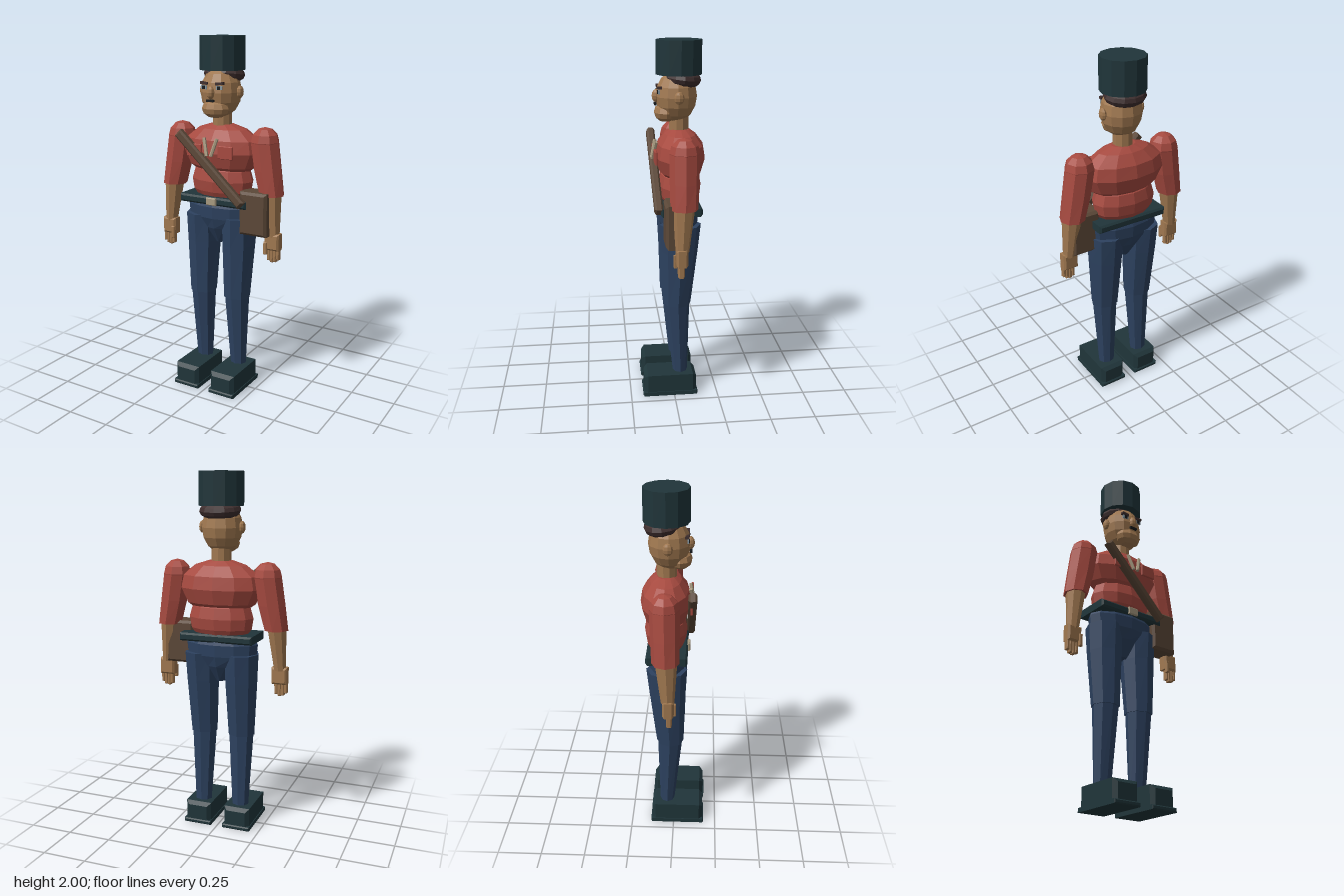
import * as THREE from 'three';

const mat = (name, color) => {
  const m = new THREE.MeshStandardMaterial({ color });
  m.name = name;
  return m;
};

// Faceted loft through horizontal elliptical rings [y, cx, cz, rx, rz], bottom to top
function loft(rings, sides = 12) {
  const pos = [], idx = [];
  for (const [y, cx, cz, rx, rz] of rings)
    for (let i = 0; i < sides; i++) {
      const t = (i / sides) * Math.PI * 2;
      pos.push(cx + rx * Math.sin(t), y, cz + rz * Math.cos(t));
    }
  for (let r = 0; r < rings.length - 1; r++)
    for (let i = 0; i < sides; i++) {
      const a = r * sides + i, b = r * sides + (i + 1) % sides;
      idx.push(a, b, b + sides, a, b + sides, a + sides);
    }
  const top = (rings.length - 1) * sides;
  for (let i = 1; i < sides - 1; i++) {
    idx.push(0, i + 1, i);
    idx.push(top, top + i, top + i + 1);
  }
  const g = new THREE.BufferGeometry();
  g.setAttribute('position', new THREE.Float32BufferAttribute(pos, 3));
  g.setIndex(idx);
  return g;
}

// Box with chamfered edges, centred on the origin
function chamferBox(w, h, d, b) {
  const x = w / 2 - b, y = h / 2 - b;
  const s = new THREE.Shape([[-x, -y], [x, -y], [x, y], [-x, y]].map(p => new THREE.Vector2(...p)));
  const g = new THREE.ExtrudeGeometry(s, { depth: d - 2 * b, bevelSize: b, bevelThickness: b, bevelSegments: 1 });
  return g.translate(0, 0, -(d / 2 - b));
}

const ball = (rx, ry, rz, w = 12, h = 8) => new THREE.SphereGeometry(1, w, h).scale(rx, ry, rz);

export function createModel() {
  const root = new THREE.Group();
  root.name = 'soldier';
  const red = mat('red cloth', 0xa64a40), blue = mat('blue cloth', 0x2d4260);
  const teal = mat('dark teal leather', 0x20353a), skin = mat('skin', 0xa07850);
  const brown = mat('brown leather', 0x5c4838), tan = mat('pale metal', 0xa89a80);
  const hairMat = mat('dark hair', 0x3e2e2e), eyeMat = mat('eye', 0x8596a0), black = mat('black', 0x15191c);

  // Every mesh is faceted through unshared vertices
  const add = (name, geo, material, x = 0, y = 0, z = 0) => {
    const g = geo.index ? geo.toNonIndexed() : geo;
    g.computeVertexNormals();
    const m = new THREE.Mesh(g, material);
    m.name = name;
    m.position.set(x, y, z);
    root.add(m);
    return m;
  };
  // Stretch a y-aligned mesh's direction from a to b
  const aim = (mesh, a, b) => {
    mesh.position.copy(a).add(b).multiplyScalar(0.5);
    mesh.quaternion.setFromUnitVectors(new THREE.Vector3(0, 1, 0), b.clone().sub(a).normalize());
  };

  // Torso
  const cz = -0.047;
  add('chest', loft([
    [1.265, 0, cz, 0.15, 0.08], [1.30, 0, cz, 0.2, 0.115], [1.38, 0, cz, 0.24, 0.138],
    [1.45, 0, cz, 0.225, 0.126], [1.505, 0, cz, 0.15, 0.085], [1.53, 0, cz, 0.07, 0.05]]), red);
  add('abdomen', loft([
    [1.11, 0, cz, 0.14, 0.085], [1.16, 0, cz, 0.178, 0.11], [1.22, 0, cz, 0.188, 0.118],
    [1.28, 0, cz, 0.17, 0.105], [1.32, 0, cz, 0.1, 0.06]]), red);

  // Belt, buckle and pelvis
  add('belt', chamferBox(0.42, 0.045, 0.225, 0.01), teal, 0, 1.112, -0.038);
  add('buckle', chamferBox(0.062, 0.042, 0.018, 0.004), tan, 0, 1.112, 0.078);
  add('pelvis', loft([
    [0.86, 0, -0.04, 0.03, 0.04], [0.95, 0, -0.04, 0.1, 0.09], [1.01, 0, -0.04, 0.205, 0.108],
    [1.075, 0, -0.04, 0.212, 0.112], [1.095, 0, -0.04, 0.2, 0.105]]), blue);

  // Neck and head
  add('neck', new THREE.CylinderGeometry(0.054, 0.054, 0.12, 10), skin, 0, 1.56, -0.042);
  add('head', ball(0.112, 0.138, 0.112), skin, 0, 1.705, -0.028);
  add('jaw', ball(0.08, 0.053, 0.064, 10, 6), skin, 0, 1.62, 0.03);
  add('nose', ball(0.022, 0.036, 0.024, 8, 6), skin, 0, 1.708, 0.08);
  add('mouth', new THREE.BoxGeometry(0.045, 0.012, 0.012), black, 0, 1.665, 0.085);
  add('hair', ball(0.117, 0.052, 0.1), hairMat, 0, 1.797, -0.062).rotation.x = -0.12;
  add('hat', new THREE.CylinderGeometry(0.123, 0.123, 0.18, 12), teal, 0, 1.91, -0.042);

  // Shoulder strap and pouch
  const strapA = new THREE.Vector3(-0.195, 1.485, 0.1), strapB = new THREE.Vector3(0.195, 1.115, 0.085);
  aim(add('strap', chamferBox(0.05, strapA.distanceTo(strapB), 0.045, 0.01), brown), strapA, strapB);
  add('pouch', chamferBox(0.165, 0.24, 0.13, 0.014), brown, 0.245, 1.065, -0.005);

  for (const s of [1, -1]) {
    const side = s > 0 ? 'left' : 'right';
    const put = (name, geo, m, x, y, z) => add(side + ' ' + name, geo, m, x * s, y, z);
    const limb = (name, rings, sides, m) =>
      put(name, loft(rings.map(([y, x, ...r]) => [y, x * s, ...r]), sides), m, 0, 0, 0);

    // Face details
    put('ear', ball(0.017, 0.034, 0.027, 8, 6), skin, 0.115, 1.708, -0.032);
    put('eye', new THREE.BoxGeometry(0.036, 0.02, 0.009), eyeMat, 0.047, 1.733, 0.07);
    put('pupil', new THREE.BoxGeometry(0.016, 0.018, 0.004), black, 0.047, 1.733, 0.076);
    put('eyebrow', new THREE.BoxGeometry(0.045, 0.014, 0.022), hairMat, 0.047, 1.755, 0.066).rotation.z = 0.08 * s;

    // Chest details
    put('pocket', chamferBox(0.092, 0.07, 0.014, 0.003), red, 0.097, 1.395, 0.093);
    const a = new THREE.Vector3(0.013 * s, 1.37, 0.105), b = new THREE.Vector3(0.04 * s, 1.465, 0.085);
    aim(add(side + ' collar strip', new THREE.CylinderGeometry(0.01, 0.01, a.distanceTo(b), 6), tan), a, b);

    // Arm
    put('shoulder', ball(0.08, 0.08, 0.08, 8, 6), red, 0.264, 1.45, -0.043);
    limb('sleeve', [
      [1.165, 0.314, -0.037, 0.068, 0.073], [1.3, 0.287, -0.04, 0.078, 0.077],
      [1.45, 0.264, -0.043, 0.079, 0.079]], 8, red);
    limb('forearm', [
      [0.94, 0.336, -0.025, 0.034, 0.036], [1.18, 0.316, -0.034, 0.054, 0.06]], 8, skin);
    put('hand', chamferBox(0.086, 0.094, 0.06, 0.01), skin, 0.336, 0.91, -0.022);
    [0.077, 0.086, 0.082, 0.068].forEach((len, i) =>
      put('finger', chamferBox(0.0175, len, 0.03, 0.004), skin, 0.316 + i * 0.018, 0.88 - len / 2, -0.018));
    put('thumb', chamferBox(0.02, 0.07, 0.022, 0.004), skin, 0.304, 0.875, 0.008);

    // Leg
    limb('thigh', [
      [0.55, 0.112, -0.022, 0.078, 0.077], [0.86, 0.114, -0.036, 0.095, 0.1],
      [1.02, 0.116, -0.04, 0.1, 0.113]], 8, blue);
    limb('shin', [
      [0.11, 0.114, -0.04, 0.048, 0.041], [0.565, 0.112, -0.022, 0.074, 0.071]], 8, blue);

    // Boot
    put('boot', chamferBox(0.152, 0.125, 0.3, 0.02), teal, 0.117, 0.0655, 0.022);
    put('sole', chamferBox(0.162, 0.024, 0.315, 0.006), teal, 0.117, 0.012, 0.022);
  }
  return root;
}
